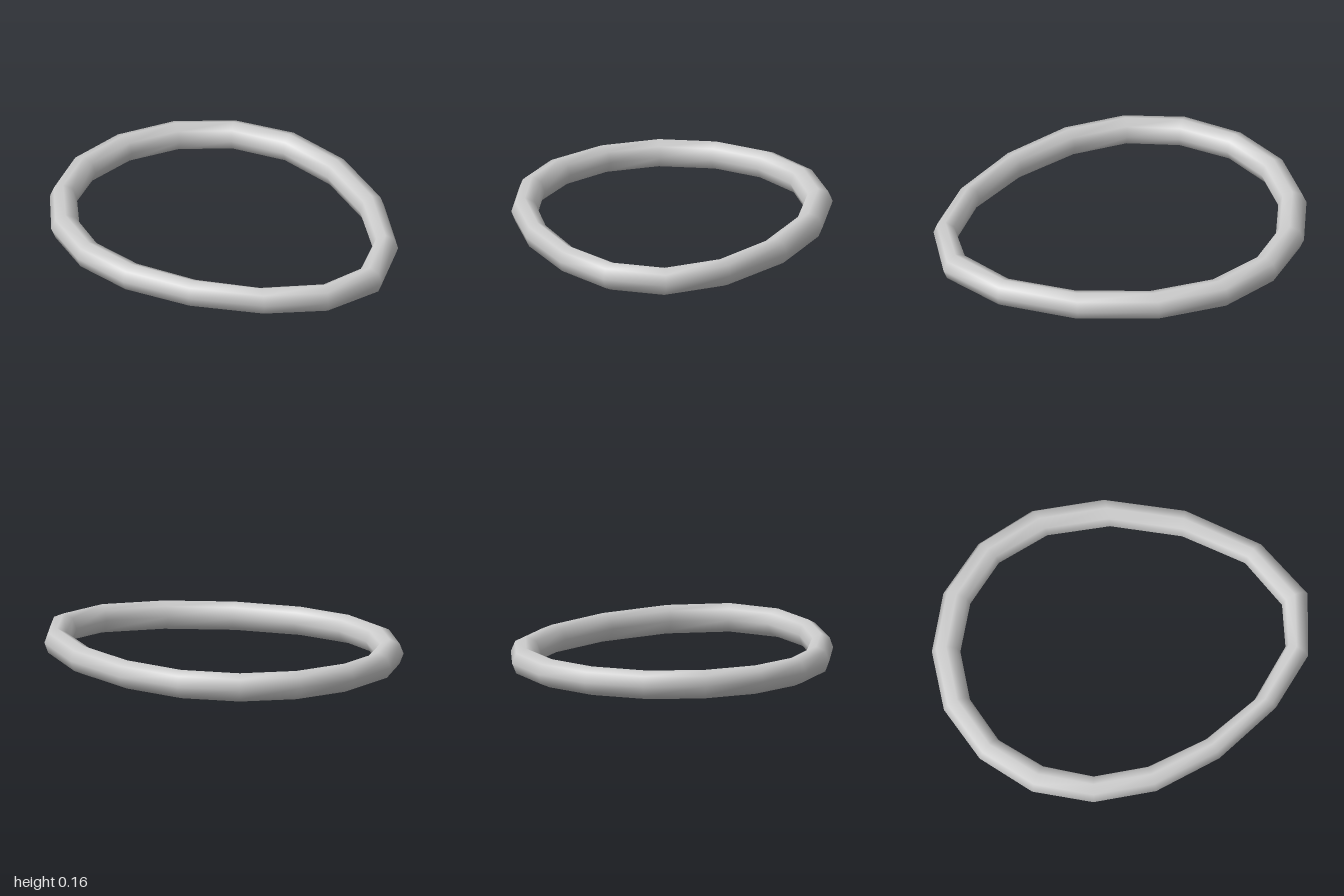
import * as THREE from 'three';

// Outer and inner edge of the ring at each joint: [outerX, outerZ, innerX, innerZ]
const JOINTS = [
  [-0.03, -1.0, -0.03, -0.84], [0.31, -0.93, 0.25, -0.785],
  [0.6, -0.73, 0.5, -0.6], [0.81, -0.39, 0.68, -0.3],
  [0.92, 0.05, 0.775, 0.09], [0.895, 0.51, 0.76, 0.47],
  [0.725, 0.855, 0.61, 0.75], [0.39, 0.995, 0.39, 0.86],
  [0.04, 0.945, 0.04, 0.82], [-0.35, 0.77, -0.275, 0.66],
  [-0.66, 0.52, -0.545, 0.425], [-0.85, 0.225, -0.71, 0.17],
  [-0.92, -0.11, -0.76, -0.11], [-0.85, -0.45, -0.71, -0.395],
  [-0.66, -0.74, -0.55, -0.63], [-0.37, -0.93, -0.31, -0.785],
];
const SIDES = 8;
const RADIUS = 0.08;

// Closed tube: an octagonal section at every joint, joined with shared vertices
function ringGeometry() {
  const positions = [];
  const indices = [];
  const count = JOINTS.length;
  JOINTS.forEach(([ox, oz, ix, iz], j) => {
    const next = (j + 1) % count;
    for (let s = 0; s < SIDES; s++) {
      const angle = (s / SIDES) * Math.PI * 2;
      const c = Math.cos(angle) / 2;
      positions.push(
        (ox + ix) / 2 + (ox - ix) * c,
        RADIUS + RADIUS * Math.sin(angle),
        (oz + iz) / 2 + (oz - iz) * c,
      );
      const t = (s + 1) % SIDES;
      const a = j * SIDES + s, b = j * SIDES + t;
      const d = next * SIDES + s, e = next * SIDES + t;
      indices.push(a, b, d, b, e, d);
    }
  });
  const geometry = new THREE.BufferGeometry();
  geometry.setAttribute('position', new THREE.Float32BufferAttribute(positions, 3));
  geometry.setIndex(indices);
  geometry.computeVertexNormals();
  return geometry;
}

export function createModel() {
  const group = new THREE.Group();
  group.name = 'irregularRing';
  const ring = new THREE.Mesh(ringGeometry(), new THREE.MeshStandardMaterial({ color: 0xcccccc }));
  ring.name = 'ring';
  group.add(ring);
  return group;
}
